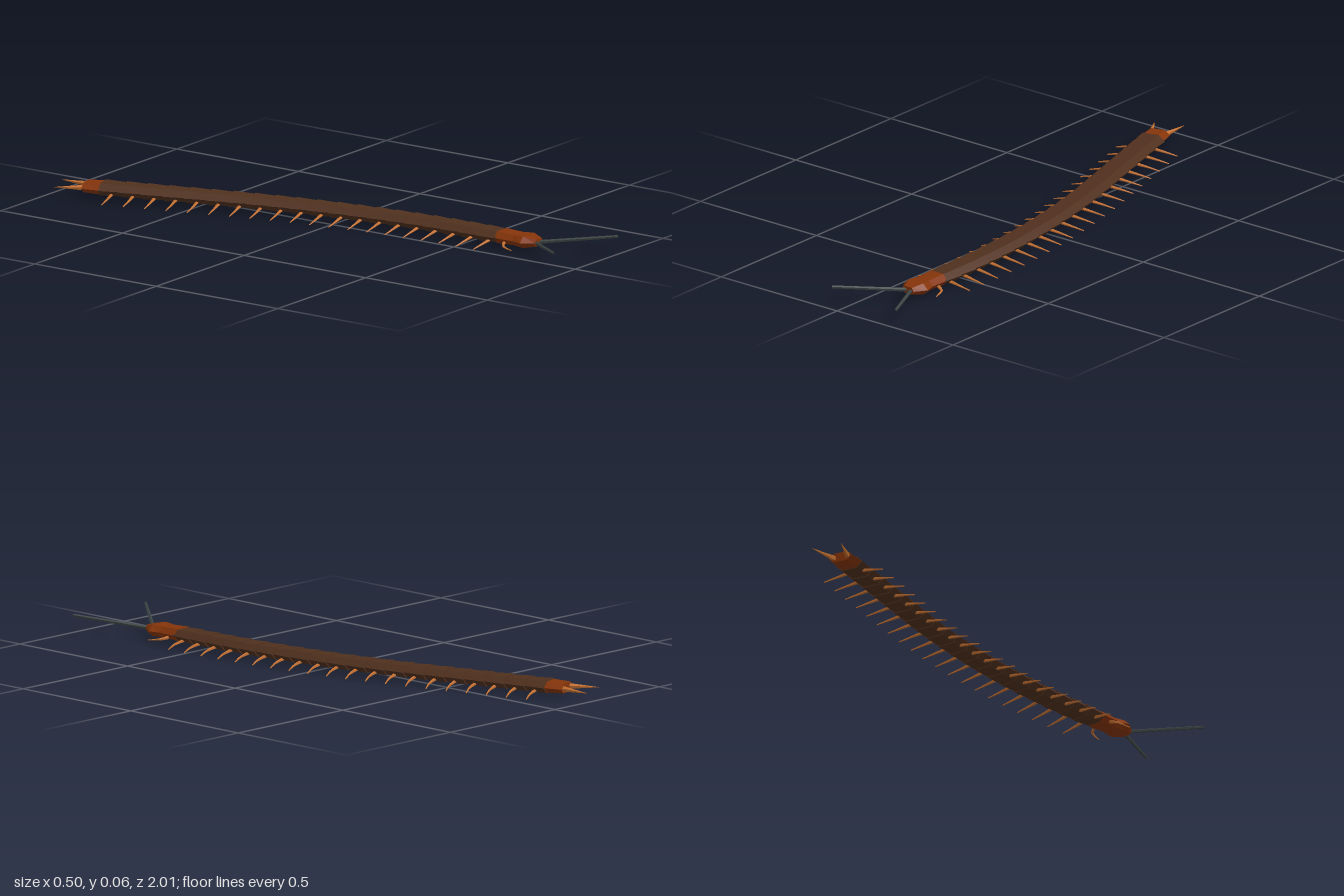
import * as THREE from 'three';

const SPINE_Y = 0.037;
const SEGMENTS = 20;
const STEP = 0.0725;

// The body follows a gentle arc, straight at the head and towards the tail
const bend = z => Math.min(z - 0.55, 0);
const spineX = z => z > -0.4 ? 0.115 - 0.155 * bend(z) ** 2 : -0.025 + 0.2945 * (z + 0.4);
const spineAngle = z => Math.atan(z > -0.4 ? -0.31 * bend(z) : 0.2945);

// Flat-topped hexagonal cross-section
const hexRing = ({ z, w, t, h }) =>
  [[w, 0], [t, h], [-t, h], [-w, 0], [-t, -h], [t, -h]].map(([x, y]) => [x, y, z]);

// Capped, faceted loft of hexagons from back to front
function hexLoft(sections) {
  const rings = sections.map(hexRing);
  const positions = [];
  const tri = (a, b, c) => positions.push(...a, ...b, ...c);
  for (let i = 0; i < rings.length - 1; i++) {
    for (let j = 0; j < 6; j++) {
      const k = (j + 1) % 6;
      tri(rings[i][j], rings[i][k], rings[i + 1][k]);
      tri(rings[i][j], rings[i + 1][k], rings[i + 1][j]);
    }
  }
  const back = rings[0], front = rings[rings.length - 1];
  for (let n = 1; n < 5; n++) {
    tri(front[0], front[n], front[n + 1]);
    tri(back[0], back[n + 1], back[n]);
  }
  const g = new THREE.BufferGeometry();
  g.setAttribute('position', new THREE.Float32BufferAttribute(positions, 3));
  g.computeVertexNormals();
  return g;
}

// Faceted tube whose radius runs from r0 to r1
function taperedTube(points, r0, r1, steps = 5, sides = 5) {
  const curve = new THREE.CatmullRomCurve3(points.map(p => new THREE.Vector3(...p)));
  const tube = new THREE.TubeGeometry(curve, steps, 1, sides, false);
  const pos = tube.attributes.position;
  const v = new THREE.Vector3();
  for (let i = 0; i < pos.count; i++) {
    const u = Math.floor(i / (sides + 1)) / steps;
    const c = curve.getPointAt(u);
    v.fromBufferAttribute(pos, i).sub(c).multiplyScalar(r0 + (r1 - r0) * u).add(c);
    pos.setXYZ(i, v.x, v.y, v.z);
  }
  const g = tube.toNonIndexed();
  g.computeVertexNormals();
  return g;
}

export function createModel() {
  const model = new THREE.Group();
  model.name = 'centipede';

  const material = (name, color) => {
    const m = new THREE.MeshStandardMaterial({ color });
    m.name = name;
    return m;
  };
  const shell = material('brown shell', 0x50301e);
  const rust = material('rust head', 0x85340a);
  const legColor = material('orange legs', 0xc47032);
  const feeler = material('dark antennae', 0x3c4644);

  const add = (parent, name, geometry, mat) => {
    const mesh = new THREE.Mesh(geometry, mat);
    mesh.name = name;
    parent.add(mesh);
    return mesh;
  };
  // Group placed on the spine and turned along it
  const station = (name, z) => {
    const g = new THREE.Group();
    g.name = name;
    g.position.set(spineX(z), SPINE_Y, z);
    g.rotation.y = spineAngle(z);
    model.add(g);
    return g;
  };

  // Overlapping trunk plates, wider at the back, each with a pair of legs
  const plate = hexLoft([
    { z: -0.041, w: 0.051, t: 0.029, h: 0.021 },
    { z: 0.039, w: 0.044, t: 0.026, h: 0.018 },
  ]);
  const legs = [-1, 1].map(s => taperedTube(
    [[s * 0.03, -0.014, 0], [s * 0.075, -0.021, -0.001], [s * 0.112, -0.031, -0.008]], 0.006, 0.0018));
  for (let i = 0; i < SEGMENTS; i++) {
    const segment = station('segment', 0.585 - STEP * i);
    add(segment, 'plate', plate, shell);
    add(segment, 'rightLeg', legs[0], legColor);
    add(segment, 'leftLeg', legs[1], legColor);
  }

  // Collar behind the head
  const collar = station('collar', 0.66);
  add(collar, 'collarPlate', hexLoft([
    { z: -0.045, w: 0.044, t: 0.027, h: 0.02 },
    { z: 0.05, w: 0.04, t: 0.025, h: 0.017 },
  ]), rust);

  // Head, widest near the front and blunt at the tip
  const head = station('head', 0.72);
  add(head, 'skull', hexLoft([
    { z: -0.032, w: 0.041, t: 0.027, h: 0.018 },
    { z: 0.006, w: 0.052, t: 0.031, h: 0.02 },
    { z: 0.047, w: 0.024, t: 0.016, h: 0.012 },
  ]), rust);

  // Venom claws and antennae
  for (const s of [-1, 1]) {
    const side = s < 0 ? 'right' : 'left';
    add(head, side + 'Claw', taperedTube(
      [[s * 0.035, -0.012, -0.07], [s * 0.06, -0.017, -0.056], [s * 0.071, -0.024, -0.012]],
      0.006, 0.0015), legColor);
    const tip = s < 0 ? [-0.173, 0.027, 0.238] : [0.133, 0.027, 0.277];
    add(head, side + 'Antenna', taperedTube(
      [[s * 0.005, -0.002, 0.038], tip], 0.0068, 0.005, 1), feeler);
  }

  // Tail plate with two spines
  const tail = station('tail', -0.855);
  add(tail, 'tailPlate', hexLoft([
    { z: -0.038, w: 0.044, t: 0.024, h: 0.016 },
    { z: 0.04, w: 0.046, t: 0.027, h: 0.019 },
  ]), rust);
  for (const s of [-1, 1]) {
    add(tail, s < 0 ? 'rightSpine' : 'leftSpine', taperedTube(
      [[s * 0.022, 0, -0.025], [s * 0.052, 0, s < 0 ? -0.132 : -0.142]], 0.011, 0.0004, 1), legColor);
  }
  return model;
}
